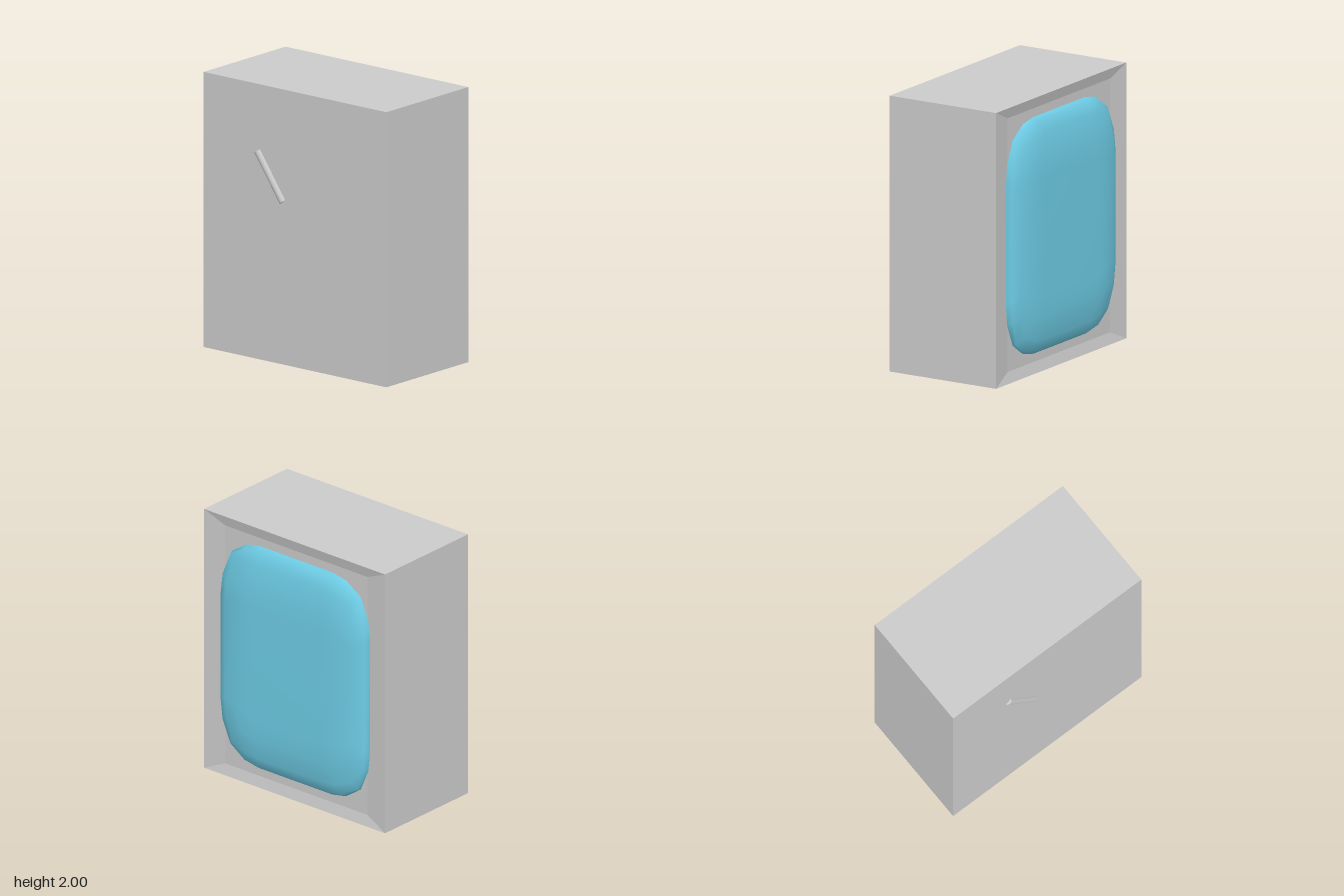
import * as THREE from 'three';
import { mergeVertices } from 'three/addons/utils/BufferGeometryUtils.js';

const grey = new THREE.MeshStandardMaterial({ color: 0xcccccc });
const blue = new THREE.MeshStandardMaterial({ color: 0x6ecde6 });

function addMesh(group, name, geometry, material) {
  const mesh = new THREE.Mesh(geometry, material);
  mesh.name = name;
  group.add(mesh);
  return mesh;
}

// Closed block lofted through rectangular rings along x: [x, half height, half depth]
function loftBlock(rings) {
  const positions = [], index = [], n = rings.length;
  for (const [x, h, d] of rings) {
    positions.push(x, 1 - h, d, x, 1 - h, -d, x, 1 + h, -d, x, 1 + h, d);
  }
  for (let r = 0; r < n - 1; r++) {
    for (let i = 0; i < 4; i++) {
      const a = r * 4 + i, b = r * 4 + (i + 1) % 4;
      index.push(a, b, b + 4, a, b + 4, a + 4);
    }
  }
  const e = (n - 1) * 4;
  index.push(0, 2, 1, 0, 3, 2, e, e + 1, e + 2, e, e + 2, e + 3);
  const indexed = new THREE.BufferGeometry();
  indexed.setAttribute('position', new THREE.Float32BufferAttribute(positions, 3));
  indexed.setIndex(index);
  const flat = indexed.toNonIndexed();
  flat.computeVertexNormals();
  return flat;
}

// Smooth pillow: a cube grid pushed onto a superellipsoid
function pillow(hx, hy, hz) {
  const steps = [-1, -0.69, -0.49, 0.49, 0.69, 1];
  const power = 4.6;
  const box = new THREE.BoxGeometry(2, 2, 2, 5, 5, 5);
  box.deleteAttribute('uv');
  box.deleteAttribute('normal');
  const p = box.attributes.position;
  for (let i = 0; i < p.count; i++) {
    const c = [p.getX(i), p.getY(i), p.getZ(i)].map((v) => steps[Math.round((v + 1) * 2.5)]);
    const norm = c.reduce((s, v) => s + Math.abs(v) ** power, 0) ** (1 / power);
    const k = 1.012 / norm;
    p.setXYZ(i, c[0] * k * hx, c[1] * k * hy, c[2] * k * hz);
  }
  const geometry = mergeVertices(box);
  geometry.computeVertexNormals();
  return geometry;
}

export function createModel() {
  const model = new THREE.Group();
  model.name = 'cabinet';

  // Body with a shallow sloped recess around the window
  addMesh(model, 'body', loftBlock([[-0.48, 1, 0.84], [0.41, 1, 0.84], [0.39, 0.92, 0.66]]), grey);

  // Bulging window
  addMesh(model, 'window', pillow(0.19, 0.86, 0.69), blue).position.set(0.303, 1, 0);

  // Slanted bar, half sunk into the opposite side
  const bar = addMesh(model, 'handle', new THREE.CylinderGeometry(0.031, 0.031, 0.405, 16), grey);
  bar.position.set(-0.469, 1.345, -0.23);
  bar.rotation.x = THREE.MathUtils.degToRad(-35);

  return model;
}
